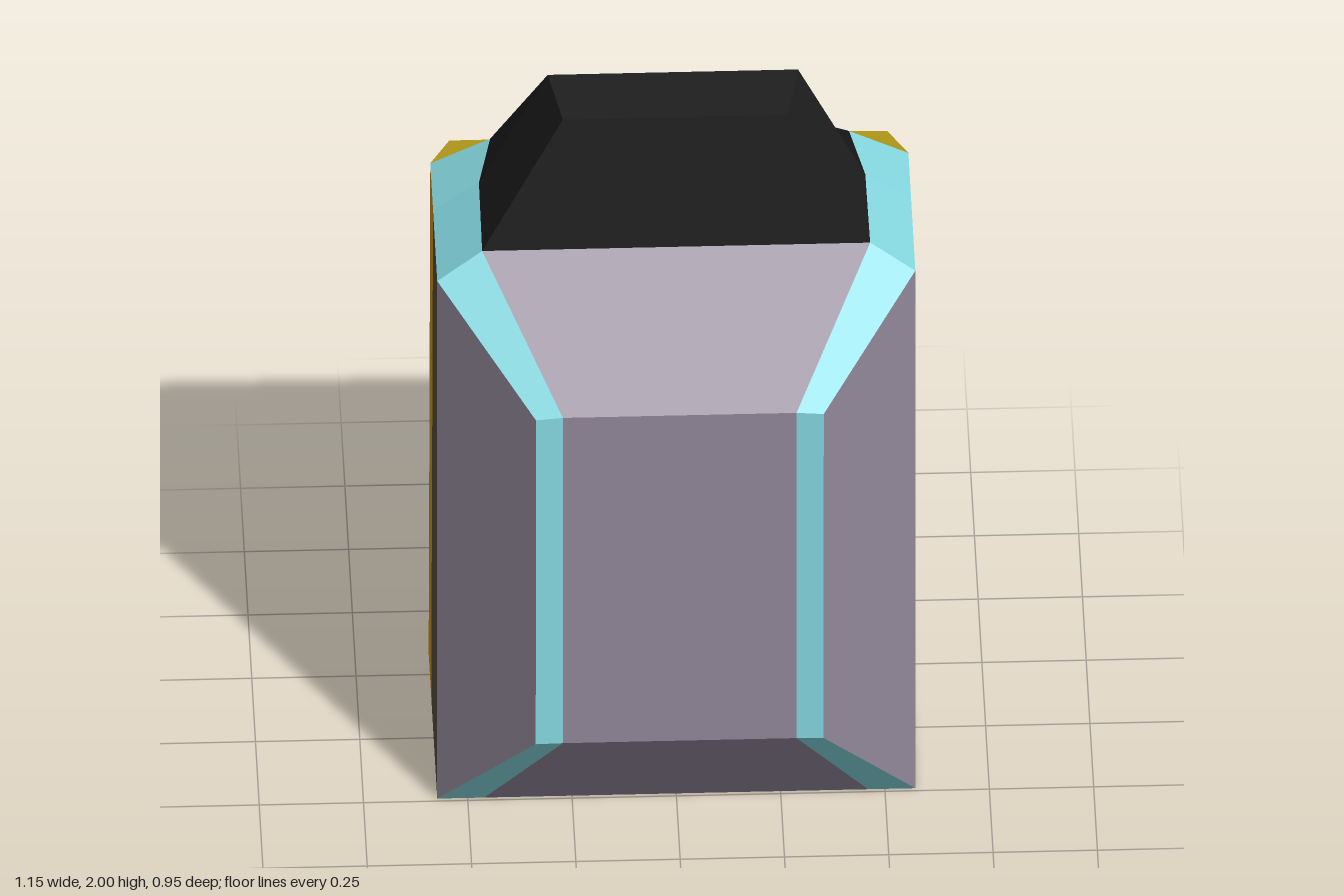
import * as THREE from 'three';

const mat = (name, color) => {
  const m = new THREE.MeshStandardMaterial({ color });
  m.name = name;
  return m;
};

// Polygons as one mesh; each has a single normal turned away from (or toward) a centre.
function faces(name, material, polys, centre, inward = false) {
  const pos = [], nor = [];
  const c = new THREE.Vector3(...centre);
  for (const poly of polys) {
    let v = poly.map((p) => new THREE.Vector3(...p));
    const n = new THREE.Vector3(), mid = new THREE.Vector3();
    v.forEach((p, i) => {
      n.add(p.clone().cross(v[(i + 1) % v.length]));
      mid.addScaledVector(p, 1 / v.length);
    });
    n.normalize();
    if ((mid.sub(c).dot(n) > 0) === inward) {
      v = v.reverse();
      n.negate();
    }
    for (let i = 1; i < v.length - 1; i++) {
      for (const p of [v[0], v[i], v[i + 1]]) {
        pos.push(p.x, p.y, p.z);
        nor.push(n.x, n.y, n.z);
      }
    }
  }
  const g = new THREE.BufferGeometry();
  g.setAttribute('position', new THREE.Float32BufferAttribute(pos, 3));
  g.setAttribute('normal', new THREE.Float32BufferAttribute(nor, 3));
  const mesh = new THREE.Mesh(g, material);
  mesh.name = name;
  return mesh;
}

const mx = ([x, y, z]) => [-x, y, z];
// Both sides of a polygon
const pair = (...p) => [p, p.map(mx)];
// A panel spanning the middle, from its +x edge
const span = (...edge) => [...edge, ...edge.map(mx).reverse()];

export function createModel() {
  const purple = mat('mauve panel', 0x93899a);
  const cyan = mat('cyan trim', 0x88dce4);
  const brown = mat('dark brown', 0x5c5343);
  const orange = mat('orange', 0xe09e22);
  const yellow = mat('yellow', 0xdfc122);
  const black = mat('black', 0x1f1f1f);
  const red = mat('red', 0xd00000);
  const teal = mat('teal window', 0x517e7b);

  const group = new THREE.Group();
  const C = [0, 0.8, 0];
  const N = [0, 1.75, 0.05];

  // Front corners: outer (O) and inner (I) edge of the trim strips
  const topO = [0.345, 1.315, 0.477], topI = [0.28, 1.315, 0.47];
  const lowO = [0.345, 0.33, 0.466], lowI = [0.28, 0.33, 0.464];
  const shoulderF = [0.573, 1.56, 0.24], shoulderM = [0.573, 1.56, -0.04], shoulderB = [0.573, 1.56, -0.225];
  const baseF = [0.573, 0, 0.24], baseM = [0.573, 0, -0.16], baseB = [0.573, 0, -0.335];
  const baseFI = [0.46, 0, 0.24], baseMI = [0.46, 0, -0.16], baseBI = [0.46, 0, -0.335];
  // Head base and top
  const neckF = [0.465, 1.64, 0.23], neckM = [0.463, 1.64, -0.04], neckB = [0.43, 1.64, -0.212];
  const capF = [0.27, 2, 0.19], capB = [0.3, 2, 0.012], winLow = [0.237, 1.73, -0.182];
  // Back rim, outer and inner
  const rimT = [0.525, 1.57, -0.3], rimB = [0.525, 0.07, -0.475];
  const holeT = [0.47, 1.5, -0.285], holeB = [0.47, 0.155, -0.472];
  // Cavity corners, following the outer shell
  const cavT = [0.519, 1.555, 0.213], cavB = [0.519, 0.066, 0.213];
  const deepT = [0.295, 1.23, 0.435], deepB = [0.295, 0.41, 0.435];

  group.add(
    faces('frontPanels', purple, [
      span(topI, lowI), span(neckF, topI), span(lowI, baseFI),
      ...pair(topO, lowO, baseF, shoulderF),
    ], C),
    faces('frontTrim', cyan, [
      ...pair(topI, topO, lowO, lowI),
      ...pair(neckF, shoulderF, topO, topI),
      ...pair(lowI, lowO, baseF, baseFI),
    ], C),
    faces('shoulders', cyan, [
      ...pair(shoulderF, shoulderM, neckM, neckF),
      ...pair(shoulderM, shoulderB, neckB, neckM),
    ], C),
    faces('sideWalls', brown, pair(shoulderF, baseF, baseM, shoulderM), C),
    faces('sideBands', orange, pair(shoulderM, baseM, baseB, shoulderB), C),
    faces('backBevel', yellow, [
      ...pair(shoulderB, baseB, rimB, rimT),
      span(neckB, shoulderB, rimT),
      span(baseB, rimB),
    ], C),
    faces('backRim', orange, [
      ...pair(rimT, rimB, holeB, holeT),
      span(rimT, holeT), span(rimB, holeB),
    ], C),
    // Underside
    faces('basePlate', brown, [span(baseFI, baseMI)], C),
    faces('baseBand', orange, [span(baseMI, baseBI)], C),
    faces('baseEdges', red, pair(baseFI, baseF, baseM, baseMI), C),
    faces('baseCorners', cyan, pair(baseMI, baseM, baseB, baseBI), C),
    // Hollow, open at the back
    faces('cavity', brown, [
      ...pair(holeT, holeB, cavB, cavT),
      ...pair(cavT, cavB, deepB, deepT),
      span(holeT, cavT), span(holeB, cavB),
      span(cavT, deepT), span(cavB, deepB), span(deepT, deepB),
    ], C, true),
    // Head block
    faces('head', black, [
      span(neckF, capF), span(capF, capB), span(winLow, neckB),
      ...pair(neckF, neckM, capB, capF),
      ...pair(neckM, neckB, winLow, capB),
    ], N),
    faces('headWindow', teal, [span(capB, winLow)], N),
  );
  return group;
}
